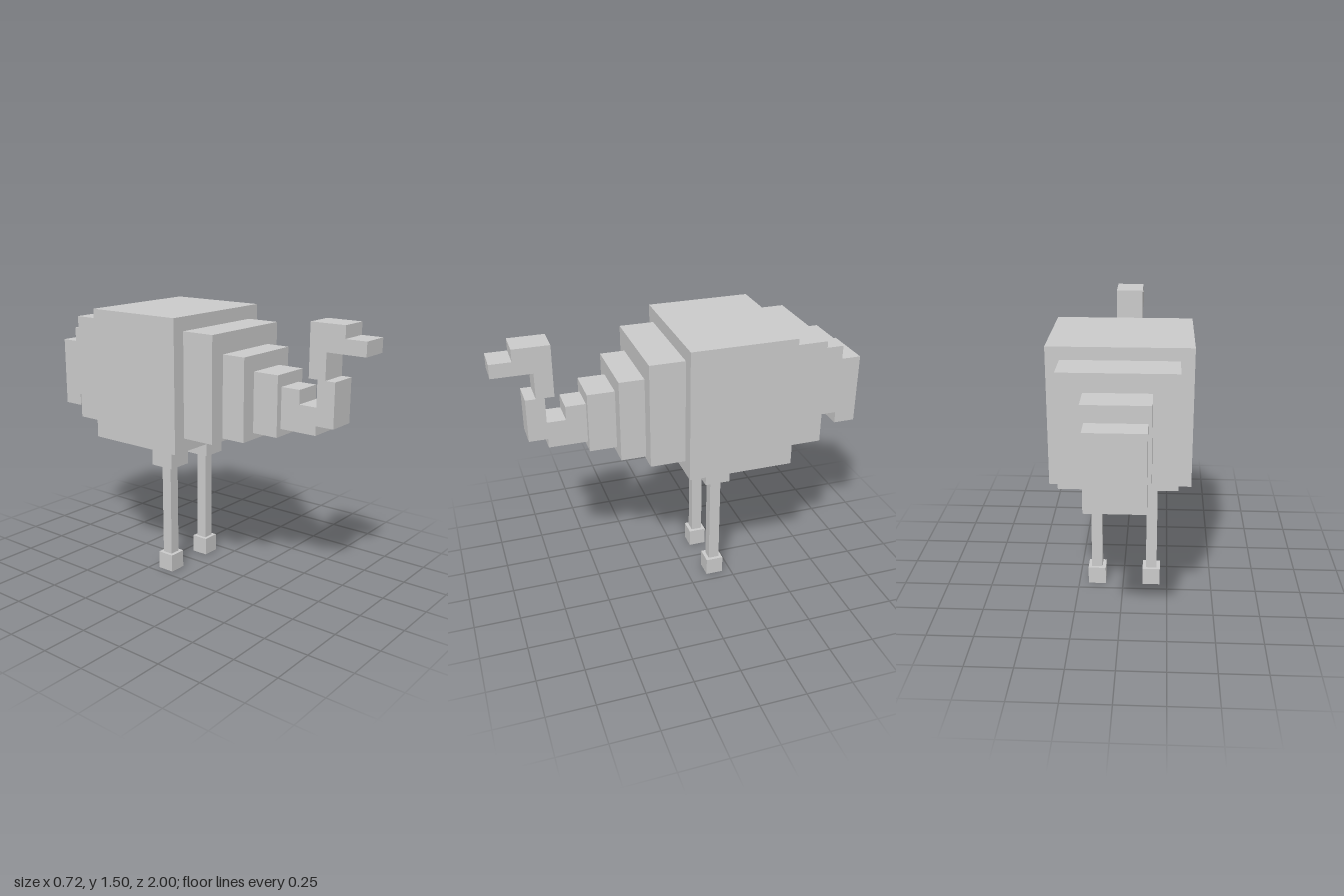
import * as THREE from 'three';

const material = new THREE.MeshStandardMaterial({ color: 0xcccccc, flatShading: true });

// Box given by its [min, max] extents on each axis
function block(name, [x0, x1], [y0, y1], [z0, z1]) {
  const mesh = new THREE.Mesh(new THREE.BoxGeometry(x1 - x0, y1 - y0, z1 - z0), material);
  mesh.position.set((x0 + x1) / 2, (y0 + y1) / 2, (z0 + z1) / 2);
  mesh.name = name;
  return mesh;
}

export function createModel() {
  const model = new THREE.Group();
  model.name = 'longLeggedBird';

  // Stepped body, from tail to chest: name, half width, y range, z range
  const body = new THREE.Group();
  body.name = 'body';
  const steps = [
    ['tail', 0.145, [0.855, 1.245], [-1, -0.88]],
    ['tailBase', 0.163, [0.93, 1.33], [-0.88, -0.715]],
    ['rump', 0.29, [0.84, 1.425], [-0.715, -0.515]],
    ['torso', 0.359, [0.77, 1.49], [-0.515, 0.06]],
    ['breast', 0.285, [0.845, 1.415], [0.06, 0.25]],
    ['chest', 0.198, [0.86, 1.305], [0.25, 0.385]],
    ['neckBase', 0.113, [0.895, 1.22], [0.385, 0.532]],
  ];
  for (const [name, w, y, z] of steps) body.add(block(name, [-w, w], y, z));
  model.add(body);

  // S-shaped neck with head and beak, all the same width
  const neck = new THREE.Group();
  neck.name = 'neckAndHead';
  const neckParts = [
    ['lowerNeck', [0.935, 1.155], [0.532, 0.64]],
    ['neckBend', [0.935, 1.08], [0.64, 0.74]],
    ['middleNeck', [0.985, 1.22], [0.74, 0.84]],
    ['upperNeck', [1.22, 1.36], [0.69, 0.785]],
    ['head', [1.36, 1.5], [0.69, 0.885]],
    ['beak', [1.36, 1.435], [0.885, 1]],
  ];
  for (const [name, y, z] of neckParts) neck.add(block(name, [-0.078, 0.078], y, z));
  model.add(neck);

  // Legs, set slightly to one side
  for (const [name, x] of [['leftLeg', 0.148], ['rightLeg', -0.16]]) {
    const leg = new THREE.Group();
    leg.name = name;
    leg.add(
      block('thigh', [-0.07, 0.07], [0.63, 0.77], [-0.22, -0.08]),
      block('shank', [-0.03, 0.03], [0.1, 0.63], [-0.182, -0.122]),
      block('foot', [-0.049, 0.049], [0, 0.1], [-0.2, -0.103]),
    );
    leg.position.x = x;
    model.add(leg);
  }
  return model;
}
